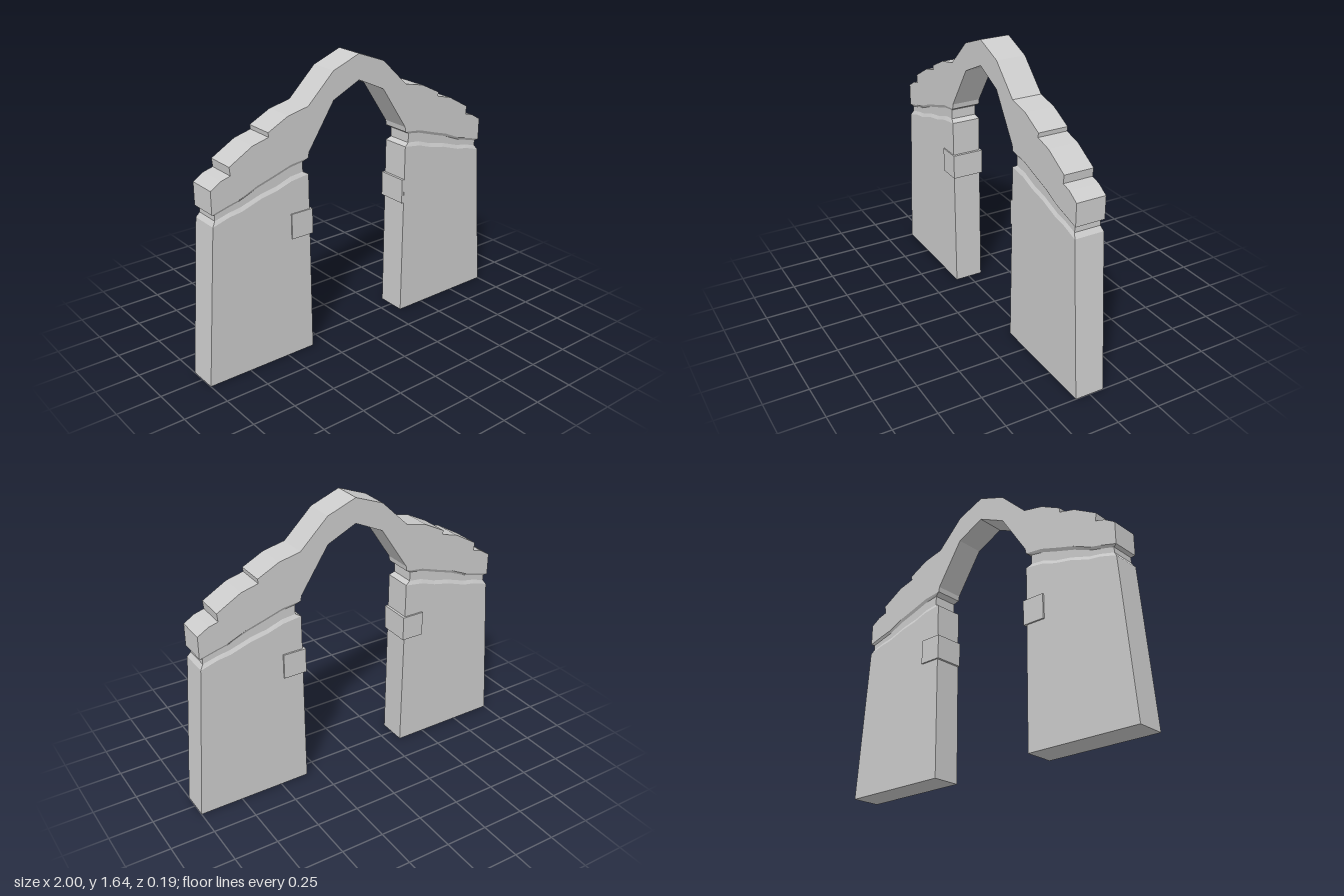
import * as THREE from 'three';

const material = new THREE.MeshStandardMaterial({ color: 0xcccccc, flatShading: true });
const DEPTH = 0.085;
const NECK_DEPTH = 0.075;

function addMesh(parent, name, geometry) {
  const mesh = new THREE.Mesh(geometry, material);
  mesh.name = name;
  parent.add(mesh);
  return mesh;
}

// Wavy edges running from the inner to the outer side of a pier: [x, y]
const shoulder = [[0.34, 1.05], [0.45, 1.035], [0.54, 1.005], [0.64, 0.985], [0.76, 0.945], [0.83, 0.935], [0.93, 0.905]];
const neckBottom = [[0.37, 1.067], [0.45, 1.058], [0.54, 1.026], [0.64, 1.006], [0.76, 0.967], [0.83, 0.955], [0.912, 0.932]];
const neckTop = [[0.37, 1.122], [0.45, 1.11], [0.56, 1.075], [0.66, 1.045], [0.77, 1.0], [0.83, 0.985], [0.912, 0.963]];
const capEdge = [[0.34, 1.14], [0.45, 1.127], [0.56, 1.092], [0.66, 1.062], [0.77, 1.014], [0.83, 1.0], [0.932, 0.972]];

// Closed loft through horizontal rings, each an edge repeated at front and back
function pierGeometry(side) {
  const base = shoulder.map(([x]) => [0.33 + (x - 0.34) * (0.67 / 0.59), 0]);
  const levels = [[base, DEPTH], [shoulder, DEPTH], [neckBottom, NECK_DEPTH], [neckTop, NECK_DEPTH], [capEdge, DEPTH]];
  const rings = levels.map(([edge, depth]) => [
    ...edge.map(([x, y]) => [side * x, y, depth]),
    ...[...edge].reverse().map(([x, y]) => [side * x, y, -depth]),
  ]);
  const positions = [];
  const tri = (a, b, c) => positions.push(...a, ...(side > 0 ? b : c), ...(side > 0 ? c : b));
  const quad = (a, b, c, d) => { tri(a, b, c); tri(a, c, d); };
  const n = rings[0].length;
  for (let l = 0; l < rings.length - 1; l++) {
    for (let i = 0; i < n; i++) {
      const j = (i + 1) % n;
      quad(rings[l][i], rings[l][j], rings[l + 1][j], rings[l + 1][i]);
    }
  }
  // Flat underside
  const foot = rings[0];
  quad(foot[0], foot[n - 1], foot[n / 2], foot[n / 2 - 1]);
  const geometry = new THREE.BufferGeometry();
  geometry.setAttribute('position', new THREE.Float32BufferAttribute(positions, 3));
  geometry.computeVertexNormals();
  return geometry;
}

// Pointed arch with stepped shoulders, drawn as one mirrored outline
function archGeometry() {
  const outer = [[0.932, 1.1], [0.87, 1.138], [0.815, 1.153], [0.82, 1.2], [0.68, 1.28], [0.582, 1.305],
    [0.585, 1.33], [0.46, 1.393], [0.335, 1.42], [0.17, 1.58]];
  const inner = [[0.17, 1.422], [0.335, 1.17]];
  const half = [...inner, ...capEdge, ...outer];
  const mirrored = half.map(([x, y]) => [-x, y]).reverse();
  const outline = [[0, 1.502], ...half, [0, 1.645], ...mirrored];
  const shape = new THREE.Shape(outline.map(([x, y]) => new THREE.Vector2(x, y)));
  const geometry = new THREE.ExtrudeGeometry(shape, { depth: 2 * DEPTH, bevelEnabled: false });
  geometry.translate(0, 0, -DEPTH);
  return geometry;
}

export function createModel() {
  const group = new THREE.Group();
  group.name = 'stoneArchway';
  addMesh(group, 'arch', archGeometry());

  for (const [side, label] of [[-1, 'right'], [1, 'left']]) {
    addMesh(group, label + 'Pier', pierGeometry(side));
    // Clasp block wrapped around the inner edge of the pier
    const front = side < 0 ? 0.092 : 0.084;
    const back = -0.095;
    const clasp = addMesh(group, label + 'Clasp', new THREE.BoxGeometry(0.135, 0.145, front - back));
    clasp.position.set(side * 0.39, 0.778, (front + back) / 2);
  }
  return group;
}
